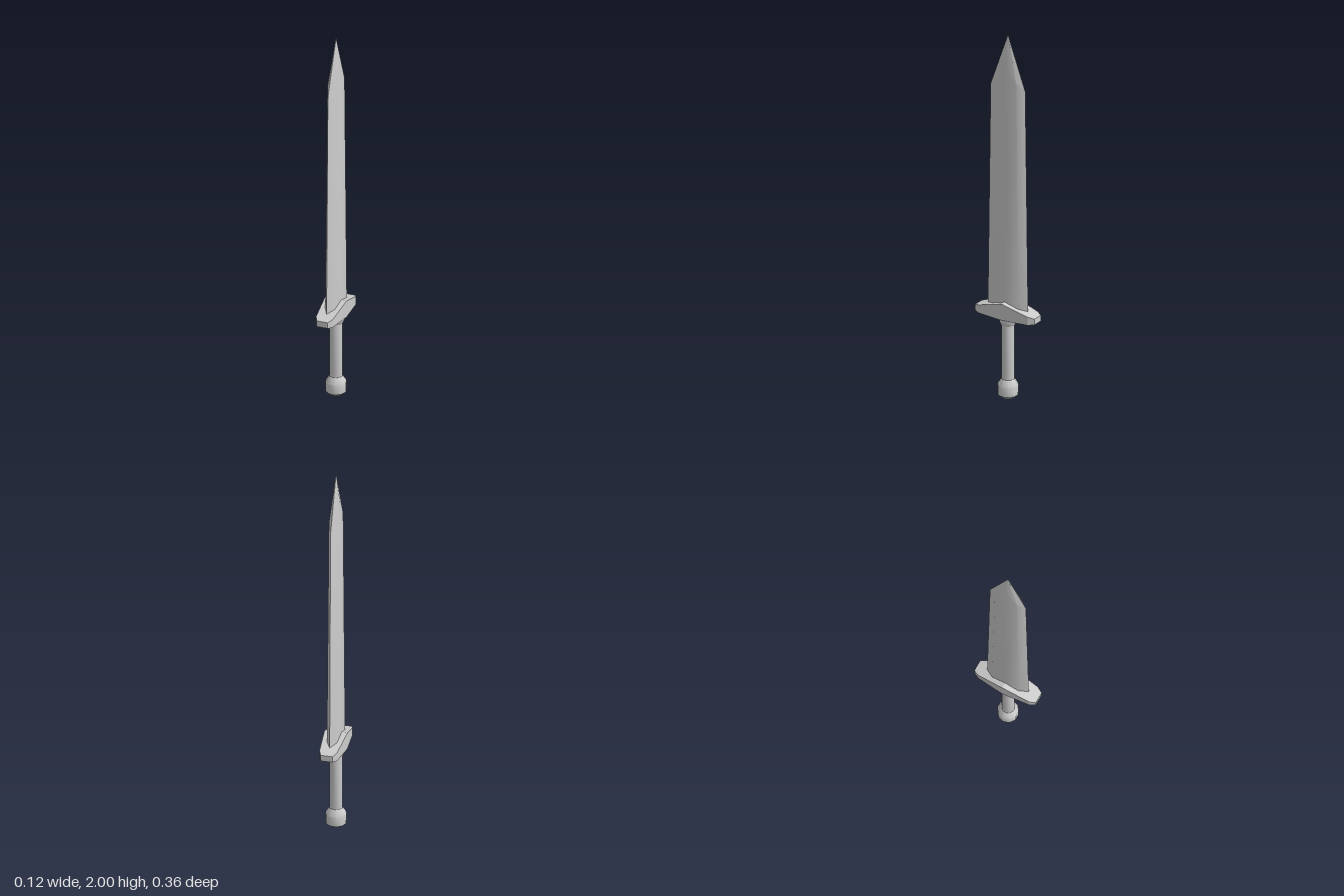
import * as THREE from 'three';
import { toCreasedNormals } from 'three/addons/utils/BufferGeometryUtils.js';

const material = new THREE.MeshStandardMaterial({ color: 0xcccccc });

function part(name, geometry, crease) {
  const mesh = new THREE.Mesh(toCreasedNormals(geometry, crease), material);
  mesh.name = name;
  return mesh;
}

// Skin rings of [x, y, z] points (counter-clockwise seen from the last ring) and cap both ends
function loft(rings) {
  const n = rings[0].length, index = [];
  const last = (rings.length - 1) * n;
  for (let i = 0; i < rings.length - 1; i++) {
    for (let j = 0; j < n; j++) {
      const a = i * n + j, b = i * n + (j + 1) % n;
      index.push(a, b, b + n, a, b + n, a + n);
    }
  }
  for (let j = 1; j < n - 1; j++) {
    index.push(0, j + 1, j, last, last + j, last + j + 1);
  }
  const geometry = new THREE.BufferGeometry();
  geometry.setAttribute('position', new THREE.Float32BufferAttribute(rings.flat(2), 3));
  geometry.setIndex(index);
  return geometry;
}

// Eight-sided blade section: cutting edge, bevel shoulder and middle ridge, each [x, y, z]
function bladeRing(edge, shoulder, ridge) {
  const front = [edge, shoulder, ridge];
  const back = [shoulder, edge].map(([x, y, z]) => [x, y, -z]);
  const half = [...front, ...back];
  const mirrored = half.slice(1, 4).reverse().map(([x, y, z]) => [-x, y, z]);
  return [...half, ...mirrored];
}

export function createModel() {
  const group = new THREE.Group();

  // Tapered blade with bevelled edges and a faceted point
  const tip = [0.0004, 2, 0.0004];
  group.add(part('blade', loft([
    bladeRing([0, 0.47, 0.121], [0.027, 0.47, 0.077], [0.03, 0.47, 0]),
    bladeRing([0, 1.71, 0.104], [0.02, 1.75, 0.064], [0.021, 1.84, 0]),
    bladeRing([0, 2, 0.0004], tip, [0.0004, 2, 0]),
  ]), 0.65));

  // Crossguard: rectangular sections along z, [z, half width, bottom, top]
  const stations = [
    [-0.178, 0.031, 0.456, 0.488],
    [-0.147, 0.046, 0.452, 0.497],
    [0, 0.06, 0.45, 0.54],
    [0.147, 0.046, 0.452, 0.497],
    [0.178, 0.031, 0.456, 0.488],
  ];
  group.add(part('crossguard', loft(stations.map(([z, w, low, high]) =>
    [[w, low, z], [w, high, z], [-w, high, z], [-w, low, z]])), 0.1));

  // Round hilt parts, profiles as [radius, y] from bottom to top
  const profiles = {
    pommel: [[0, 0], [0.03, 0.008], [0.053, 0.026], [0.055, 0.08], [0.034, 0.112], [0, 0.112]],
    grip: [[0.034, 0.1], [0.034, 0.42]],
    collar: [[0, 0.405], [0.036, 0.408], [0.046, 0.43], [0.046, 0.455]],
  };
  for (const [name, points] of Object.entries(profiles)) {
    const geometry = new THREE.LatheGeometry(points.map(([r, y]) => new THREE.Vector2(r, y)), 10);
    geometry.rotateY(Math.PI / 2);
    group.add(part(name, geometry, 0.65));
  }

  return group;
}
